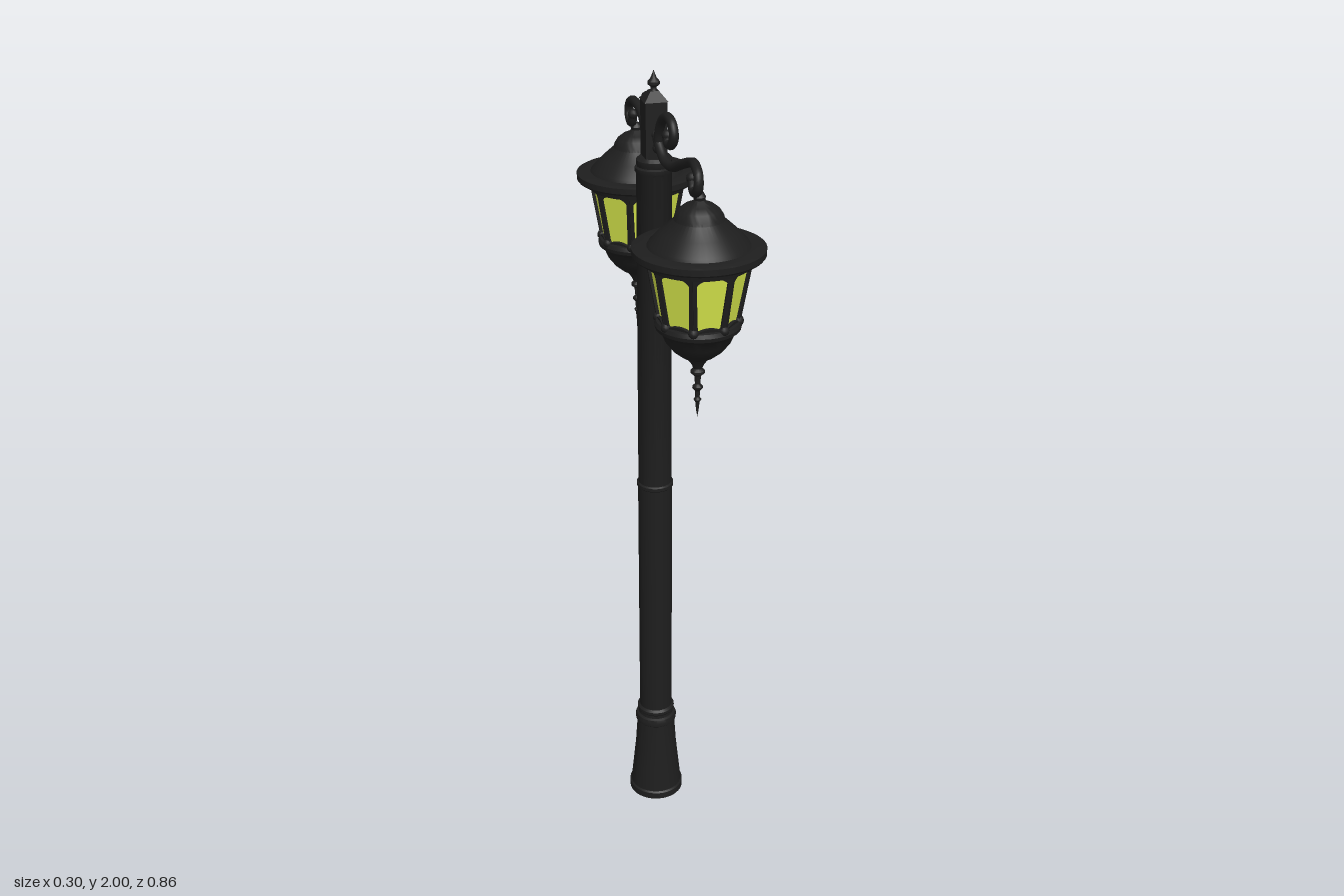
import * as THREE from 'three';
import { toCreasedNormals } from 'three/addons/utils/BufferGeometryUtils.js';

const iron = new THREE.MeshStandardMaterial({ color: 0x1e1e1e });
const glassMat = new THREE.MeshStandardMaterial({ color: 0xd8e84c, side: THREE.DoubleSide });

function add(parent, name, geometry, material = iron) {
  const mesh = new THREE.Mesh(geometry, material);
  mesh.name = name;
  parent.add(mesh);
  return mesh;
}

// Turned part; profile of [radius, y] runs bottom to top
function turned(parent, name, profile, segments = 40) {
  const points = profile.map(([r, y]) => new THREE.Vector2(r, y));
  return add(parent, name, toCreasedNormals(new THREE.LatheGeometry(points, segments), 0.6));
}

function scroll(parent, name, points, radius) {
  const curve = new THREE.CatmullRomCurve3(points.map((p) => new THREE.Vector3(...p)));
  add(parent, name, new THREE.TubeGeometry(curve, 70, radius, 10));
  // Rounded tips
  for (const t of [0, 1]) {
    add(parent, name + 'Tip', new THREE.SphereGeometry(radius * 1.15, 12, 8)).position.copy(curve.getPoint(t));
  }
}

function createLantern() {
  const lantern = new THREE.Group();
  lantern.name = 'lantern';
  const sides = 8, bottomY = 1.505, height = 0.152, bottomR = 0.084, topR = 0.109;
  const tan = Math.tan(Math.PI / sides), cos = Math.cos(Math.PI / sides);

  turned(lantern, 'roof', [
    [0, 1.645], [0.118, 1.645], [0.122, 1.659], [0.145, 1.664], [0.148, 1.668], [0.148, 1.682], [0.142, 1.685],
    [0.114, 1.685], [0.11, 1.692], [0.085, 1.718], [0.056, 1.744], [0.054, 1.752], [0.046, 1.765],
    [0.032, 1.776], [0.018, 1.782], [0.012, 1.787], [0.014, 1.794], [0.009, 1.803], [0, 1.806],
  ], 48);

  turned(lantern, 'bowl', [
    [0, 1.416], [0.022, 1.418], [0.038, 1.426], [0.058, 1.442], [0.075, 1.464], [0.083, 1.484],
    [0.086, 1.487], [0.096, 1.495], [0.098, 1.504], [0.094, 1.513], [0.086, 1.516], [0.08, 1.516],
  ]);

  turned(lantern, 'drop', [
    [0, 1.272], [0.003, 1.29], [0.005, 1.31], [0.009, 1.316], [0.005, 1.322], [0.006, 1.338], [0.012, 1.345],
    [0.012, 1.349], [0.006, 1.355], [0.008, 1.376], [0.016, 1.382], [0.016, 1.388], [0.01, 1.394],
    [0.015, 1.405], [0.026, 1.42],
  ], 20);

  // Tapered glass with flats facing the frame openings
  const glass = add(lantern, 'glass', new THREE.CylinderGeometry(
    (topR - 0.005) / cos, (bottomR - 0.005) / cos, height, sides, 1, true).toNonIndexed(), glassMat);
  glass.geometry.computeVertexNormals();
  glass.position.y = bottomY + height / 2;
  glass.rotation.y = Math.PI / sides;

  // Frame panel with an arched opening
  const b = bottomR * tan, t = topR * tan;
  const shape = new THREE.Shape();
  shape.moveTo(-b, 0).lineTo(b, 0).lineTo(t, height).lineTo(-t, height).closePath();
  const hole = new THREE.Path();
  hole.moveTo(-0.026, 0.012);
  hole.lineTo(-0.035, 0.128);
  hole.quadraticCurveTo(-0.026, 0.142, 0, 0.142);
  hole.quadraticCurveTo(0.026, 0.142, 0.035, 0.128);
  hole.lineTo(0.026, 0.012);
  hole.quadraticCurveTo(0, 0.024, -0.026, 0.012);
  shape.holes.push(hole);
  const panel = new THREE.ExtrudeGeometry(shape, { depth: 0.009, bevelEnabled: false, curveSegments: 8 });
  panel.translate(0, 0, -0.007);
  panel.rotateX(Math.atan((topR - bottomR) / height));
  panel.translate(0, bottomY, bottomR);
  for (let i = 0; i < sides; i++) {
    const a = (i / sides) * Math.PI * 2;
    add(lantern, 'framePanel', panel).rotation.y = a;
    // Scalloped lug at the foot of each bar
    const lug = add(lantern, 'barFoot', new THREE.SphereGeometry(0.012, 10, 8));
    const c = a + Math.PI / sides;
    lug.position.set(Math.sin(c) * 0.09, 1.514, Math.cos(c) * 0.09);
  }
  return lantern;
}

export function createModel() {
  const model = new THREE.Group();
  model.name = 'streetLamp';
  const post = new THREE.Group();
  post.name = 'post';
  post.position.x = -0.028;
  model.add(post);

  turned(post, 'base', [
    [0, 0], [0.072, 0], [0.072, 0.018], [0.068, 0.022], [0.062, 0.08], [0.055, 0.15], [0.05, 0.228],
    [0.054, 0.232], [0.055, 0.242], [0.052, 0.25], [0.046, 0.253], [0.046, 0.262], [0.049, 0.266],
    [0.049, 0.274], [0.043, 0.279], [0, 0.279],
  ]);
  turned(post, 'shaft', [
    [0.043, 0.27], [0.043, 0.952], [0.046, 0.955], [0.046, 0.963], [0.042, 0.966],
    [0.041, 1.765], [0.044, 1.77], [0.044, 1.779], [0.039, 1.782], [0.041, 1.788], [0.041, 1.797], [0.034, 1.804], [0, 1.804],
  ]);

  // Square head block and pyramid cap
  add(post, 'headBlock', new THREE.BoxGeometry(0.05, 0.135, 0.05)).position.y = 1.865;
  const cap = add(post, 'pyramidCap', new THREE.CylinderGeometry(0.014, 0.039, 0.022, 4).toNonIndexed());
  cap.geometry.computeVertexNormals();
  cap.rotation.y = Math.PI / 4;
  cap.position.y = 1.943;
  turned(post, 'finial', [
    [0.011, 1.95], [0.007, 1.957], [0.007, 1.962], [0.014, 1.968], [0.014, 1.974], [0.007, 1.982], [0.003, 1.992], [0, 2],
  ], 20);

  // Two matching arms, mirrored front to back
  for (const s of [1, -1]) {
    const arm = new THREE.Group();
    arm.name = s > 0 ? 'frontArm' : 'backArm';
    model.add(arm);
    scroll(arm, 'hookScroll', [
      [-0.012, 1.83, 0.262 * s], [-0.012, 1.808, 0.272 * s], [-0.012, 1.806, 0.291 * s], [-0.011, 1.822, 0.309 * s],
      [-0.01, 1.846, 0.305 * s], [-0.008, 1.861, 0.27 * s], [-0.004, 1.851, 0.22 * s], [-0.008, 1.833, 0.17 * s],
      [-0.016, 1.812, 0.119 * s], [-0.021, 1.812, 0.071 * s], [-0.025, 1.838, 0.036 * s], [-0.028, 1.86, 0.022 * s],
    ], 0.011);
    scroll(arm, 'upperScroll', [
      [-0.026, 1.83, 0.03 * s], [-0.025, 1.87, 0.036 * s], [-0.022, 1.903, 0.058 * s], [-0.019, 1.916, 0.09 * s],
      [-0.017, 1.906, 0.12 * s], [-0.016, 1.882, 0.13 * s], [-0.018, 1.86, 0.114 * s], [-0.02, 1.86, 0.094 * s],
      [-0.02, 1.875, 0.088 * s],
    ], 0.011);
    const lantern = createLantern();
    lantern.position.set(0, 0, 0.28 * s);
    model.add(lantern);
  }
  return model;
}
